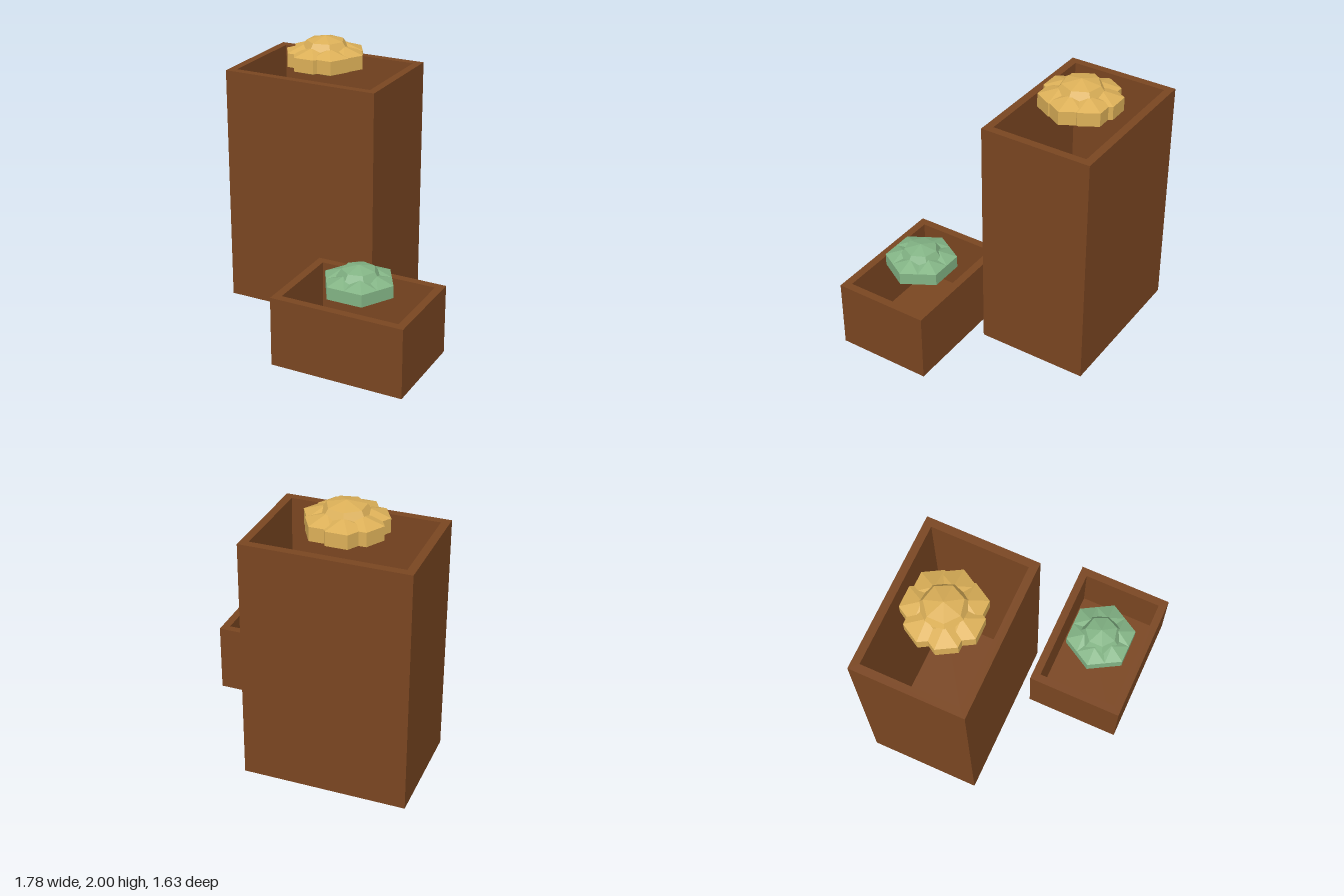
import * as THREE from 'three';

const brown = new THREE.MeshStandardMaterial({ name: 'planter brown', color: 0x7a4621 });
const gold = new THREE.MeshStandardMaterial({ name: 'gold foliage', color: 0xdcb058, flatShading: true });
const green = new THREE.MeshStandardMaterial({ name: 'green foliage', color: 0x83b485, flatShading: true });

const WALL = 0.058;

function rectangle(path, w, d) {
  path.moveTo(-w / 2, -d / 2);
  path.lineTo(w / 2, -d / 2);
  path.lineTo(w / 2, d / 2);
  path.lineTo(-w / 2, d / 2);
  path.closePath();
  return path;
}

// Open box: a rectangular tube of walls with a floor set inside
function makePlanter(w, h, d) {
  const planter = new THREE.Group();
  planter.name = 'planterBox';
  const outline = rectangle(new THREE.Shape(), w, d);
  outline.holes.push(rectangle(new THREE.Path(), w - 2 * WALL, d - 2 * WALL));
  const wallGeometry = new THREE.ExtrudeGeometry(outline, { depth: h, bevelEnabled: false });
  wallGeometry.rotateX(-Math.PI / 2);
  const walls = new THREE.Mesh(wallGeometry, brown);
  walls.name = 'planterWalls';
  const floor = new THREE.Mesh(new THREE.BoxGeometry(w - 2 * WALL, WALL, d - 2 * WALL), brown);
  floor.name = 'planterFloor';
  floor.position.y = WALL / 2;
  planter.add(walls, floor);
  return planter;
}

// Faceted foliage: a ring of squashed low-poly blobs around a domed centre
function makeFoliage({ count, ring, leafRadius, leafHeight, domeRadius, domeHeight, domeY, material }) {
  const foliage = new THREE.Group();
  foliage.name = 'foliage';
  const leafGeometry = new THREE.SphereGeometry(1, 6, 3);
  leafGeometry.scale(leafRadius, leafHeight, leafRadius);
  for (let i = 0; i < count; i++) {
    const a = (i / count) * Math.PI * 2;
    const leaf = new THREE.Mesh(leafGeometry, material);
    leaf.name = 'leafClump';
    leaf.position.set(Math.cos(a) * ring, 0, Math.sin(a) * ring);
    foliage.add(leaf);
  }
  const domeGeometry = new THREE.SphereGeometry(1, 7, 4);
  domeGeometry.rotateY(Math.PI);
  domeGeometry.scale(domeRadius, domeHeight, domeRadius);
  const dome = new THREE.Mesh(domeGeometry, material);
  dome.name = 'centreClump';
  dome.position.y = domeY;
  foliage.add(dome);
  return foliage;
}

export function createModel() {
  const model = new THREE.Group();
  model.name = 'planterPair';

  // Tall planter at the back
  const tall = new THREE.Group();
  tall.name = 'tallPlanter';
  tall.position.set(-0.305, 0, -0.403);
  const goldPlant = makeFoliage({
    count: 7, ring: 0.143, leafRadius: 0.175, leafHeight: 0.1,
    domeRadius: 0.193, domeHeight: 0.115, domeY: 0.047, material: gold,
  });
  goldPlant.position.y = 1.838;
  tall.add(makePlanter(1.17, 1.77, 0.825), goldPlant);

  // Low planter at the front
  const low = new THREE.Group();
  low.name = 'lowPlanter';
  low.position.set(0.4, 0, 0.462);
  const greenPlant = makeFoliage({
    count: 6, ring: 0.1285, leafRadius: 0.1485, leafHeight: 0.09,
    domeRadius: 0.168, domeHeight: 0.104, domeY: 0.042, material: green,
  });
  greenPlant.position.y = 0.57;
  low.add(makePlanter(0.98, 0.512, 0.706), greenPlant);

  model.add(tall, low);
  return model;
}
